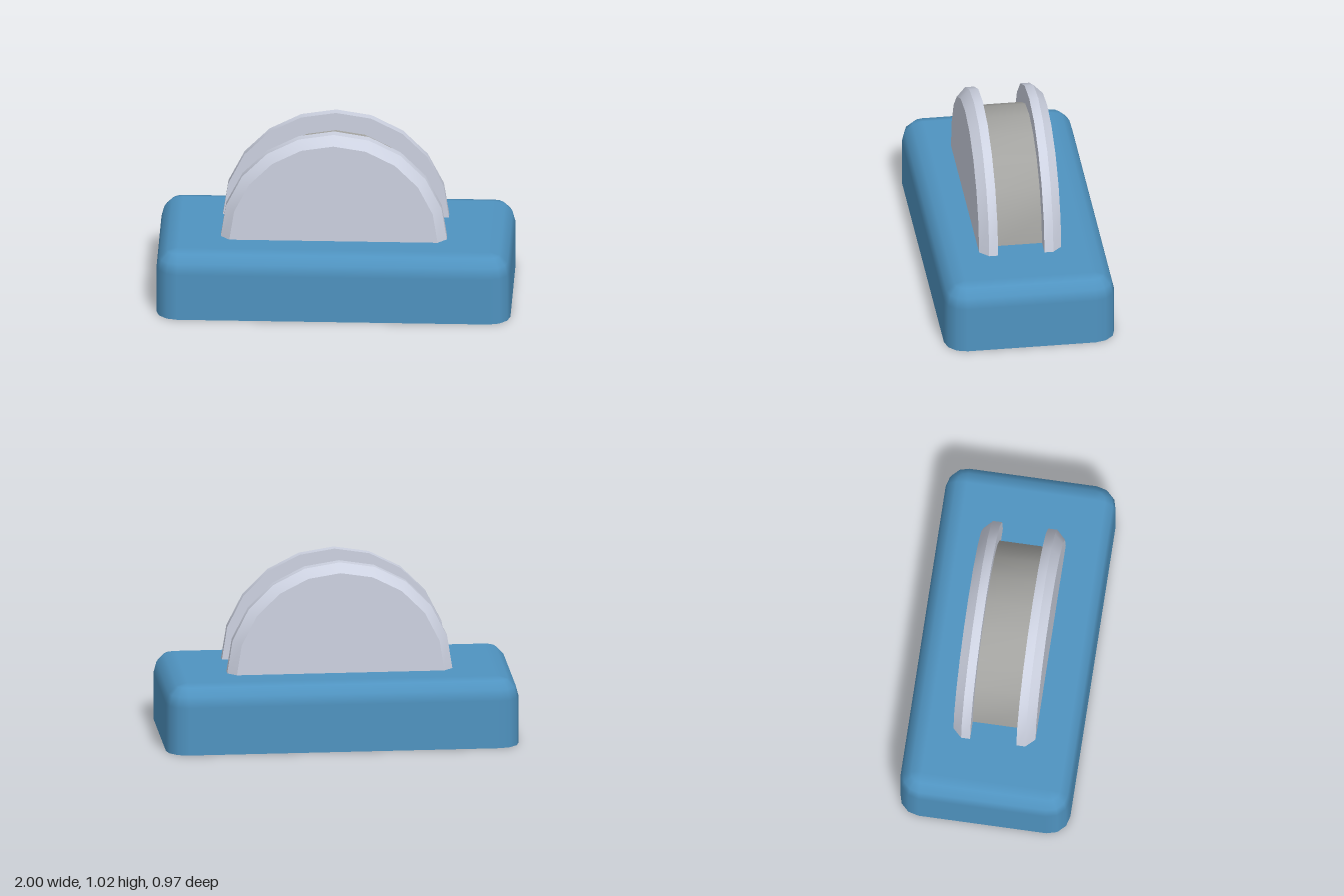
import * as THREE from 'three';
import { toCreasedNormals } from 'three/addons/utils/BufferGeometryUtils.js';

// Block with rounded upright corners and top edges, and a flat sharp-edged underside
function roundedBlock(halfX, halfZ, height, radius, steps) {
  const pos = [], nor = [], idx = [];
  const count = 4 * (steps + 1);
  const corners = [[1, 1], [-1, 1], [-1, -1], [1, -1]];
  const addRing = (y, phi, down) => {
    corners.forEach(([sx, sz], q) => {
      for (let s = 0; s <= steps; s++) {
        const th = (q + s / steps) * Math.PI / 2;
        const nx = Math.cos(phi) * Math.cos(th), nz = Math.cos(phi) * Math.sin(th);
        pos.push(sx * (halfX - radius) + radius * nx, y, sz * (halfZ - radius) + radius * nz);
        nor.push(...(down ? [0, -1, 0] : [nx, Math.sin(phi), nz]));
      }
    });
  };

  // Wall, then the rounded shoulder
  addRing(0, 0);
  for (let k = 0; k <= steps; k++) {
    const phi = k / steps * Math.PI / 2;
    addRing(height - radius + radius * Math.sin(phi), phi);
  }
  const rings = steps + 2;
  for (let j = 0; j < rings - 1; j++) {
    for (let i = 0; i < count; i++) {
      const a = j * count + i, b = j * count + (i + 1) % count;
      idx.push(a, a + count, b, b, a + count, b + count);
    }
  }

  // Top and underside
  const top = (rings - 1) * count, under = rings * count;
  addRing(0, 0, true);
  for (let i = 1; i < count - 1; i++) {
    idx.push(top, top + i + 1, top + i);
    idx.push(under, under + i, under + i + 1);
  }

  const g = new THREE.BufferGeometry();
  g.setAttribute('position', new THREE.Float32BufferAttribute(pos, 3));
  g.setAttribute('normal', new THREE.Float32BufferAttribute(nor, 3));
  g.setIndex(idx);
  return g;
}

// Upper half of a turned shape with its axis along z; profile is [radius, z] from back to front
function halfTurned(profile) {
  const points = profile.map(([r, z]) => new THREE.Vector2(r, z));
  const g = new THREE.LatheGeometry(points, 10, Math.PI / 2, Math.PI);
  g.rotateX(Math.PI / 2);
  return toCreasedNormals(g, 0.5);
}

export function createModel() {
  const model = new THREE.Group();
  model.name = 'grooved wheel on base';

  const blue = new THREE.MeshStandardMaterial({ color: 0x4f93c0 });
  const pale = new THREE.MeshStandardMaterial({ color: 0xcdd2e1, side: THREE.DoubleSide });
  const grey = new THREE.MeshStandardMaterial({ color: 0xa3a3a0, side: THREE.DoubleSide });

  const add = (name, geometry, material, parent) => {
    const mesh = new THREE.Mesh(geometry, material);
    mesh.name = name;
    parent.add(mesh);
  };

  add('base', roundedBlock(1, 0.485, 0.394, 0.12, 3), blue, model);

  // Half wheel rising out of the base
  const wheel = new THREE.Group();
  wheel.name = 'wheel';
  wheel.position.set(-0.005, 0.385, 0.01);
  model.add(wheel);

  // Flanges, chamfered on the outside
  const flange = [[0, 0.132], [0.64, 0.132], [0.64, 0.183], [0.59, 0.234], [0, 0.234]];
  add('frontFlange', halfTurned(flange), pale, wheel);
  add('backFlange', halfTurned(flange.map(([r, z]) => [r, -z]).reverse()), pale, wheel);

  // Hub between the flanges
  add('hub', halfTurned([[0.535, -0.132], [0.535, 0.132]]), grey, wheel);

  return model;
}
